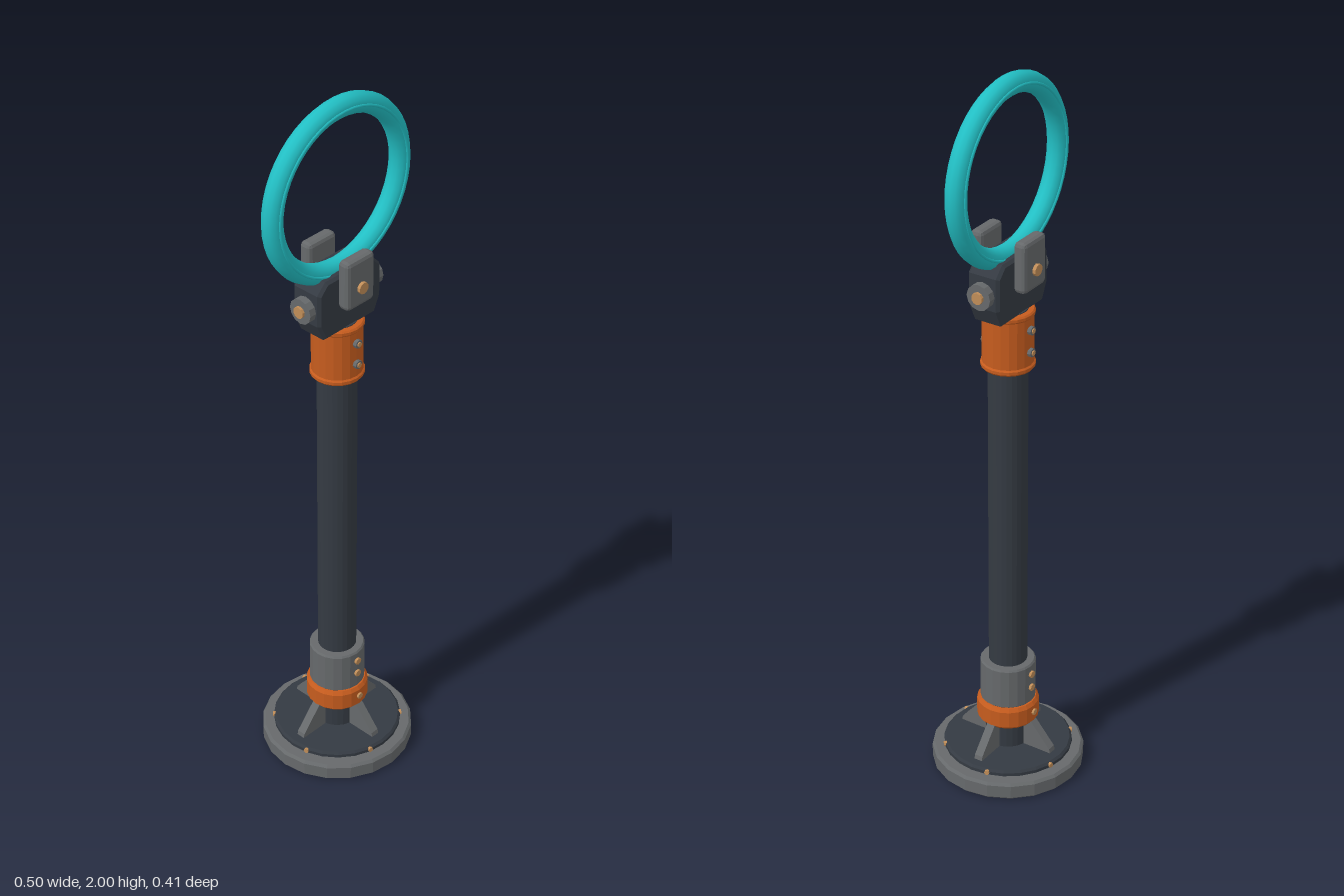
import * as THREE from 'three';
import { RoundedBoxGeometry } from 'three/addons/geometries/RoundedBoxGeometry.js';

const mat = (name, color, flatShading = true) => {
  const m = new THREE.MeshStandardMaterial({ color, flatShading });
  m.name = name;
  return m;
};

export function createModel() {
  const group = new THREE.Group();
  const teal = mat('teal', 0x22bfc4, false);
  const dark = mat('charcoal', 0x343a42);
  const grey = mat('steel grey', 0x66696b);
  const orange = mat('orange', 0xc65c1e);
  const gold = mat('brass', 0xc08d58);

  const add = (name, geometry, material, x = 0, y = 0, z = 0) => {
    const mesh = new THREE.Mesh(geometry, material);
    mesh.name = name;
    mesh.position.set(x, y, z);
    group.add(mesh);
    return mesh;
  };
  // Turned part from [radius, height] pairs, bottom to top
  const turned = (name, points, sides, material) =>
    add(name, new THREE.LatheGeometry(points.map(p => new THREE.Vector2(...p)), sides), material);
  // Short cylinder pointing outward from the axis at a given angle (0 = +z)
  const stud = (name, radius, length, material, angle, distance, y, sides = 8) => {
    const g = new THREE.CylinderGeometry(radius, radius, length, sides);
    g.rotateX(Math.PI / 2);
    const m = add(name, g, material, Math.sin(angle) * distance, y, Math.cos(angle) * distance);
    m.rotation.y = angle;
    return m;
  };

  // Foot
  turned('basePlate', [[0, 0], [0.2, 0], [0.207, 0.007], [0.207, 0.043], [0.2, 0.05], [0, 0.05]], 20, grey);
  turned('baseDisc', [[0.168, 0.05], [0.175, 0.055], [0.175, 0.064], [0.169, 0.07], [0, 0.07]], 24, dark);
  for (let i = 0; i < 6; i++) {
    stud('baseScrew', 0.007, 0.008, gold, Math.PI / 4 + i * Math.PI / 3, 0.174, 0.062);
  }

  // Four tapered ribs bracing the pole
  const ribShape = new THREE.Shape([[0.04, 0.068], [0.145, 0.068], [0.142, 0.082], [0.083, 0.15], [0.04, 0.15]]
    .map(p => new THREE.Vector2(...p)));
  for (let i = 0; i < 4; i++) {
    const g = new THREE.ExtrudeGeometry(ribShape, { depth: 0.024, bevelEnabled: false });
    g.translate(0, 0, -0.012);
    add('baseRib', g, grey).rotation.y = i * Math.PI / 2;
  }

  // Pole and its collars
  turned('pole', [[0.06, 0.068], [0.06, 0.15], [0.052, 0.15], [0.052, 1.38], [0, 1.38]], 24, dark);
  turned('lowerBand', [[0.05, 0.142], [0.077, 0.142], [0.084, 0.15], [0.084, 0.197], [0.077, 0.207], [0.05, 0.207]], 20, orange);
  turned('lowerCollar', [[0.07, 0.205], [0.075, 0.21], [0.075, 0.322], [0.071, 0.327], [0.05, 0.327]], 20, grey);
  turned('upperCollar', [[0.05, 1.215], [0.067, 1.215], [0.071, 1.22], [0.071, 1.228], [0.067, 1.232],
    [0.067, 1.362], [0.07, 1.366], [0.07, 1.374], [0.066, 1.378], [0, 1.378]], 20, orange);

  // Screws on the front and back of the collars
  for (const angle of [0, Math.PI]) {
    stud('bandScrew', 0.009, 0.01, gold, angle, 0.084, 0.178);
    for (const y of [0.255, 0.297]) stud('collarScrew', 0.01, 0.012, gold, angle, 0.075, y);
    for (const y of [1.27, 1.332]) {
      stud('collarWasher', 0.012, 0.014, grey, angle, 0.069, y);
      stud('collarScrew', 0.007, 0.018, gold, angle, 0.07, y);
    }
  }

  // Head block carrying the ring
  const headShape = new THREE.Shape([[-0.085, 1.378], [0.085, 1.378], [0.104, 1.42], [0.104, 1.505],
    [0.08, 1.53], [-0.08, 1.53], [-0.104, 1.505], [-0.104, 1.42]].map(p => new THREE.Vector2(...p)));
  const headGeometry = new THREE.ExtrudeGeometry(headShape,
    { depth: 0.076, bevelThickness: 0.008, bevelSize: 0.007, bevelSegments: 1 });
  headGeometry.translate(0, 0, -0.038);
  add('headBlock', headGeometry, dark);

  // Pivot bolts on the sides
  for (const angle of [Math.PI / 2, -Math.PI / 2]) {
    stud('pivotWasher', 0.035, 0.03, grey, angle, 0.116, 1.457, 12);
    stud('pivotBolt', 0.016, 0.016, gold, angle, 0.131, 1.457, 10);
  }

  // Clamp plates in front of and behind the ring
  for (const side of [1, -1]) {
    add('clampPlate', new RoundedBoxGeometry(0.097, 0.138, 0.036, 1, 0.011), grey, 0, 1.519, side * 0.065);
    stud('clampBolt', 0.016, 0.012, gold, side > 0 ? 0 : Math.PI, 0.086, 1.505, 10);
  }

  // Ring with a fine seam on each face
  add('ring', new THREE.TorusGeometry(0.2225, 0.0275, 12, 48), teal, 0, 1.75, 0);
  for (const side of [1, -1]) {
    add('ringSeam', new THREE.TorusGeometry(0.2225, 0.004, 6, 48), teal, 0, 1.75, side * 0.026);
  }
  return group;
}
